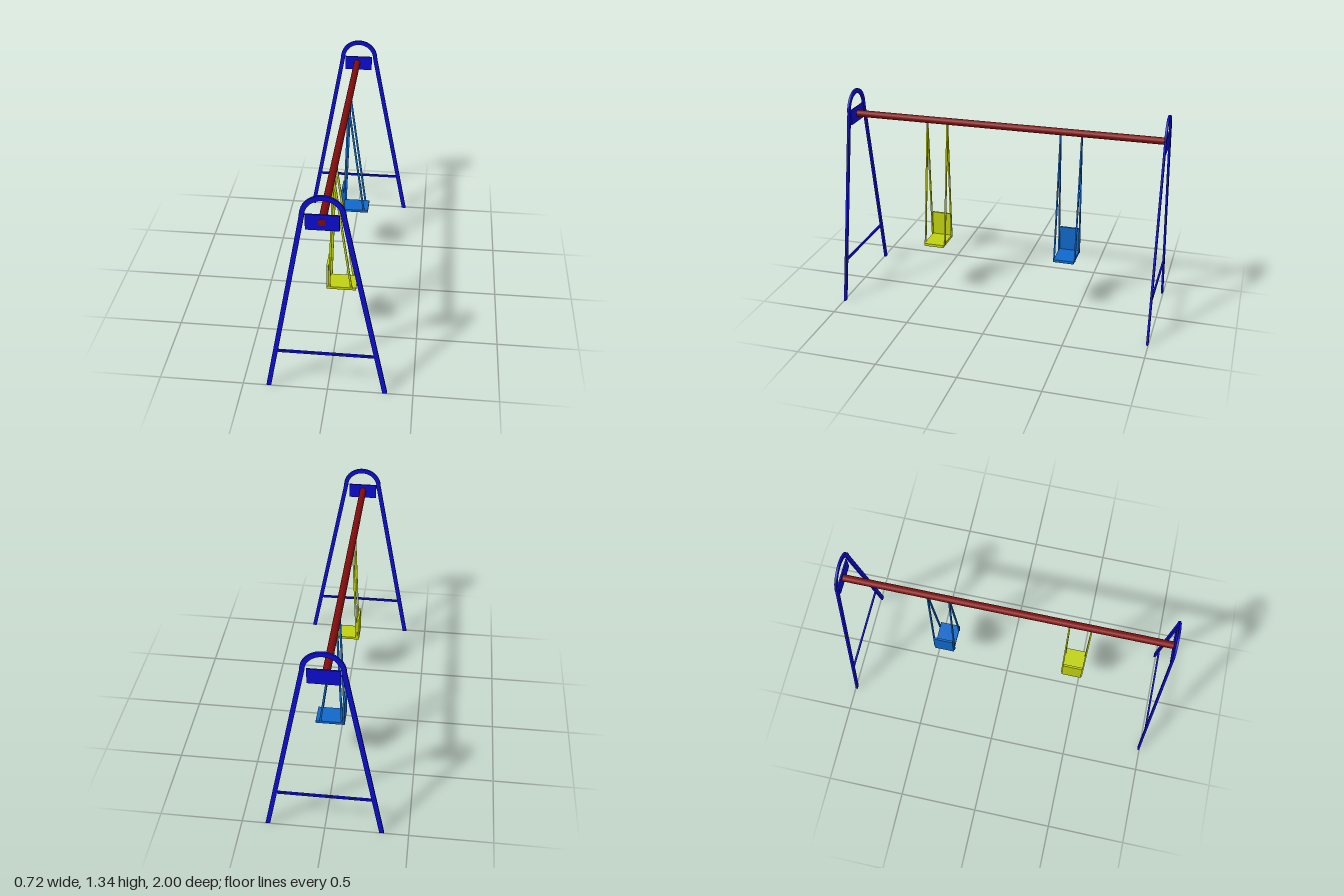
import * as THREE from 'three';

const paint = (name, color) => {
  const m = new THREE.MeshStandardMaterial({ color });
  m.name = name;
  return m;
};

function addMesh(parent, name, geometry, material, x = 0, y = 0, z = 0) {
  const mesh = new THREE.Mesh(geometry, material);
  mesh.name = name;
  mesh.position.set(x, y, z);
  parent.add(mesh);
  return mesh;
}

// Box given by its two opposite corners
function addBox(parent, name, material, [x0, y0, z0], [x1, y1, z1]) {
  return addMesh(parent, name, new THREE.BoxGeometry(x1 - x0, y1 - y0, z1 - z0), material,
    (x0 + x1) / 2, (y0 + y1) / 2, (z0 + z1) / 2);
}

// Square bar from point a to point b
function addBar(parent, name, material, a, b, width, depth) {
  const dir = b.clone().sub(a);
  const bar = addMesh(parent, name, new THREE.BoxGeometry(width, dir.length(), depth), material);
  bar.position.copy(a).add(b).multiplyScalar(0.5);
  bar.quaternion.setFromUnitVectors(new THREE.Vector3(0, 1, 0), dir.normalize());
  return bar;
}

// Arched end frame with crossbar and beam plate
function makeFrame(name, material) {
  const frame = new THREE.Group();
  frame.name = name;
  const depth = 0.013, cx = -0.013, springY = 1.213;
  const s = new THREE.Shape();
  s.moveTo(-0.362, 0);
  s.lineTo(cx - 0.125, springY);
  s.absarc(cx, springY, 0.125, Math.PI, 0, true);
  s.lineTo(0.35, 0);
  s.lineTo(0.322, 0);
  s.lineTo(cx + 0.097, springY);
  s.absarc(cx, springY, 0.097, 0, Math.PI, false);
  s.lineTo(-0.334, 0);
  s.closePath();
  addMesh(frame, 'archedLegs',
    new THREE.ExtrudeGeometry(s, { depth, bevelEnabled: false, curveSegments: 20 }), material);
  addBox(frame, 'crossbar', material, [-0.288, 0.262, 0.001], [0.277, 0.277, 0.012]);
  addBox(frame, 'beamPlate', material, [-0.108, 1.125, 0.002], [0.075, 1.221, 0.011]);
  return frame;
}

// Seat with backrest hung on four bars
function makeSwing(name, material, z) {
  const swing = new THREE.Group();
  swing.name = name;
  swing.position.z = z;
  addBox(swing, 'seat', material, [-0.06, 0.36, -0.065], [0.12, 0.377, 0.065]);
  addBox(swing, 'backrest', material, [-0.06, 0.36, -0.063], [-0.047, 0.53, 0.063]);
  for (const side of [-1, 1]) {
    for (const footX of [-0.044, 0.093]) {
      addBar(swing, 'hanger', material,
        new THREE.Vector3(-0.013, 1.165, side * 0.066),
        new THREE.Vector3(footX, 0.366, side * 0.066), 0.012, 0.009);
    }
  }
  return swing;
}

export function createModel() {
  const model = new THREE.Group();
  model.name = 'swingSet';
  const frameBlue = paint('frameBlue', 0x0c0cd0);
  const beamRed = paint('beamRed', 0x7f0c0c);
  const seatYellow = paint('seatYellow', 0xc0d010);
  const seatBlue = paint('seatBlue', 0x1068c8);

  // End frames
  const front = makeFrame('frontFrame', frameBlue);
  front.position.z = 0.987;
  const back = makeFrame('backFrame', frameBlue);
  back.position.set(0.008, 0, -1);
  model.add(front, back);

  // Top beam, ending just proud of the front plate
  const beam = addMesh(model, 'beam', new THREE.CylinderGeometry(0.022, 0.022, 1.991, 12), beamRed,
    -0.018, 1.176, 0.0045);
  beam.rotation.x = Math.PI / 2;

  // Swings
  model.add(makeSwing('frontSwing', seatYellow, 0.446), makeSwing('backSwing', seatBlue, -0.414));
  return model;
}
